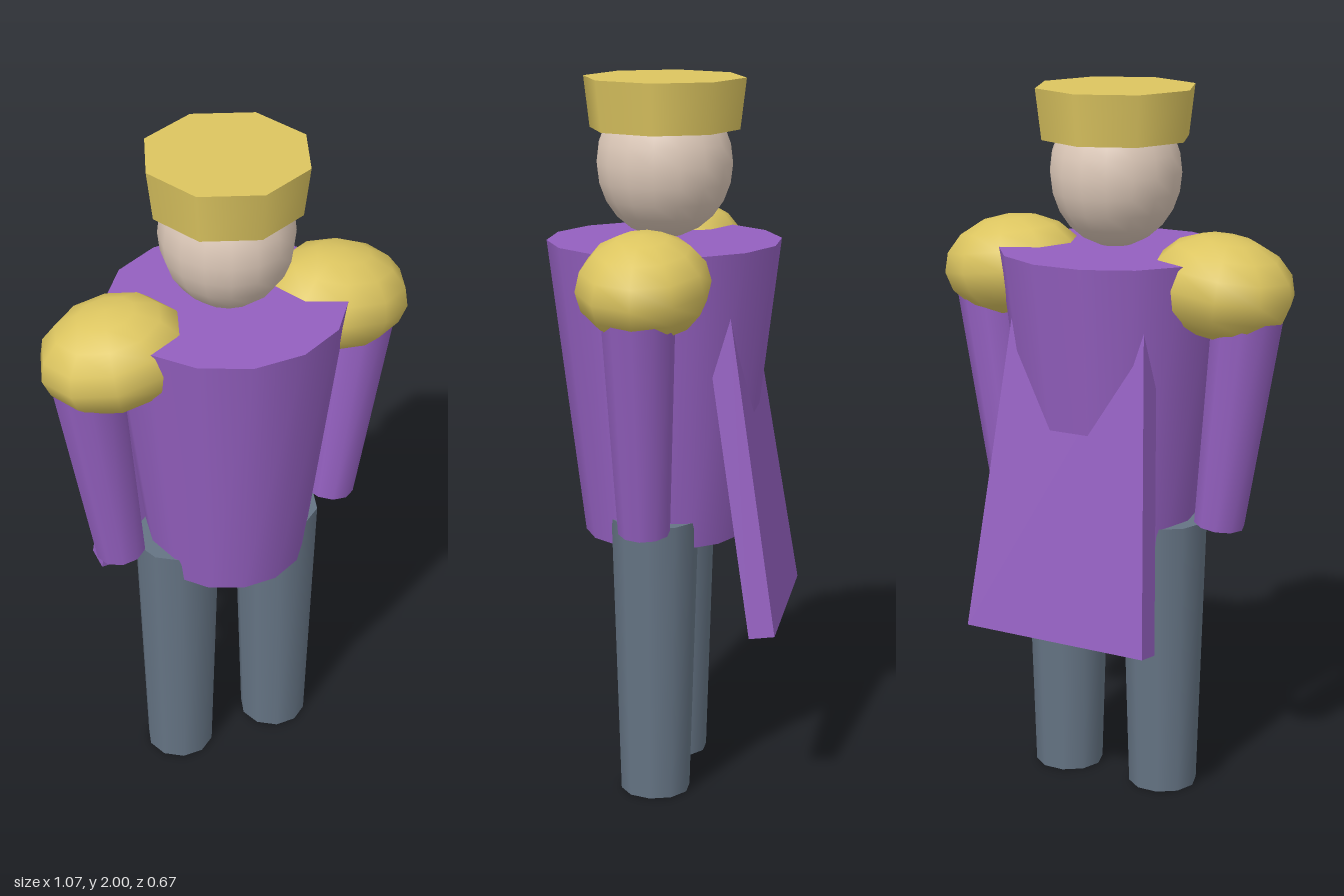
import * as THREE from 'three';

const mat = (name, color) => {
  const m = new THREE.MeshStandardMaterial({ color });
  m.name = name;
  return m;
};

export function createModel() {
  const purple = mat('purple cloth', 0x9460c0);
  const gold = mat('gold', 0xdcc560);
  const skin = mat('skin', 0xdcc8b8);
  const slate = mat('slate trousers', 0x657484);

  const root = new THREE.Group();
  const body = new THREE.Group();
  body.name = 'figure';
  body.position.z = 0.016;
  root.add(body);

  const add = (name, geometry, material, x, y, z = 0) => {
    const mesh = new THREE.Mesh(geometry, material);
    mesh.name = name;
    mesh.position.set(x, y, z);
    body.add(mesh);
    return mesh;
  };
  // tapered cylinder with a corner pointing along x
  const taper = (top, bottom, height, sides) =>
    new THREE.CylinderGeometry(top, bottom, height, sides).rotateY(Math.PI / 2);

  // tunic, head and cap
  add('torso', taper(0.326, 0.223, 0.83, 14), purple, 0, 1.14);
  const head = add('head', new THREE.SphereGeometry(1, 16, 12), skin, 0, 1.768);
  head.scale.set(0.181, 0.207, 0.19);
  add('cap', taper(0.226, 0.209, 0.14, 8), gold, 0, 1.93);

  // limbs and shoulder pads, mirrored
  for (const s of [1, -1]) {
    const side = s > 0 ? 'left' : 'right';
    add(side + 'Leg', taper(0.122, 0.098, 0.8, 10), slate, s * 0.157, 0.4);

    const arm = add(side + 'Arm', taper(0.1, 0.071, 0.64, 10), purple, s * 0.372, 1.124);
    arm.rotation.z = -s * 0.13;

    const pad = add(side + 'ShoulderPad', new THREE.SphereGeometry(1, 10, 8), gold, s * 0.33, 1.48);
    pad.scale.set(0.208, 0.142, 0.181);
    pad.rotation.z = -s * 0.15;
  }

  // cape: a slab that narrows and leans forward toward the shoulders
  const low = 0.5, high = 1.4;
  const capeGeo = new THREE.BoxGeometry(0.56, high - low, 0.07);
  const p = capeGeo.attributes.position;
  for (let i = 0; i < p.count; i++) {
    const t = p.getY(i) > 0 ? 1 : 0;
    const back = p.getZ(i) < 0;
    p.setXYZ(i, p.getX(i) * (1 - 0.27 * t), (t ? high : low) + (back ? 0.01 : 0),
      (back ? -0.336 : -0.265) + 0.142 * t);
  }
  const cape = capeGeo.toNonIndexed();
  cape.computeVertexNormals();
  add('cape', cape, purple, 0, 0, -0.016);

  return root;
}
